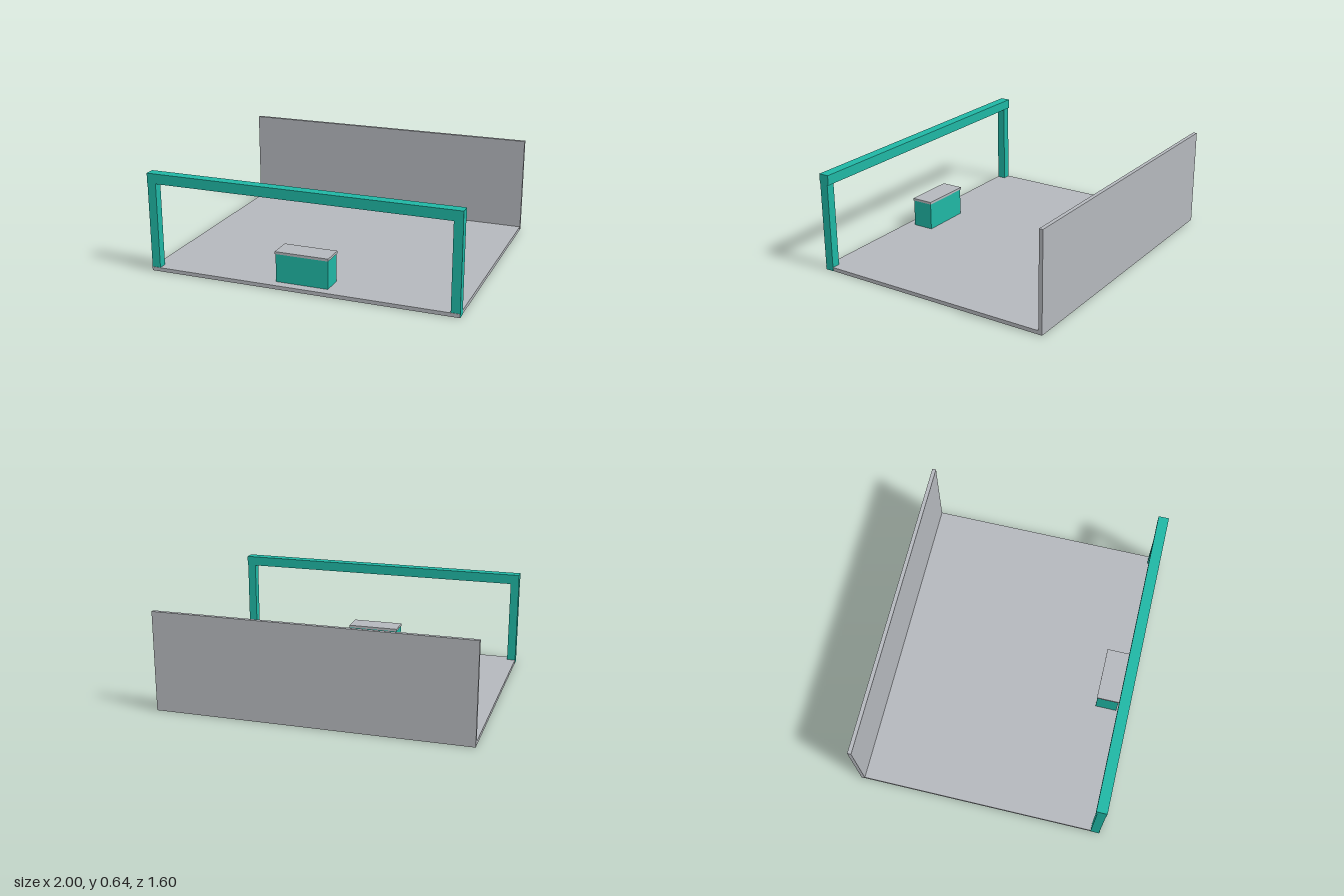
import * as THREE from 'three';

const teal = new THREE.MeshStandardMaterial({ color: 0x1fb6a4 });
teal.name = 'teal';
const grey = new THREE.MeshStandardMaterial({ color: 0xb4b7bc });
grey.name = 'light grey';

// Box given by its [min, max] range on each axis
function box(name, material, [x0, x1], [y0, y1], [z0, z1]) {
  const mesh = new THREE.Mesh(new THREE.BoxGeometry(x1 - x0, y1 - y0, z1 - z0), material);
  mesh.position.set((x0 + x1) / 2, (y0 + y1) / 2, (z0 + z1) / 2);
  mesh.name = name;
  return mesh;
}

export function createModel() {
  const model = new THREE.Group();
  model.name = 'exhibitionBooth';

  // Floor slab and back wall; the floor is a hair smaller so post and counter feet show
  model.add(box('floor', grey, [-0.999, 0.999], [0.001, 0.025], [-0.8, 0.8]));
  model.add(box('backWall', grey, [-1, 1], [0.001, 0.64], [-0.8, -0.775]));

  // Front frame: two posts carrying a deeper header beam
  const frame = new THREE.Group();
  frame.name = 'frontFrame';
  frame.add(box('leftPost', teal, [0.944, 1], [0, 0.576], [0.741, 0.797]));
  frame.add(box('rightPost', teal, [-1, -0.944], [0, 0.576], [0.741, 0.797]));
  frame.add(box('headerBeam', teal, [-1, 1], [0.576, 0.64], [0.732, 0.8]));
  model.add(frame);

  // Reception counter with an overhanging top
  const counter = new THREE.Group();
  counter.name = 'counter';
  counter.add(box('counterBody', teal, [-0.17, 0.17], [0, 0.205], [0.6, 0.74]));
  counter.add(box('counterTop', grey, [-0.174, 0.174], [0.205, 0.221], [0.596, 0.744]));
  model.add(counter);

  return model;
}
